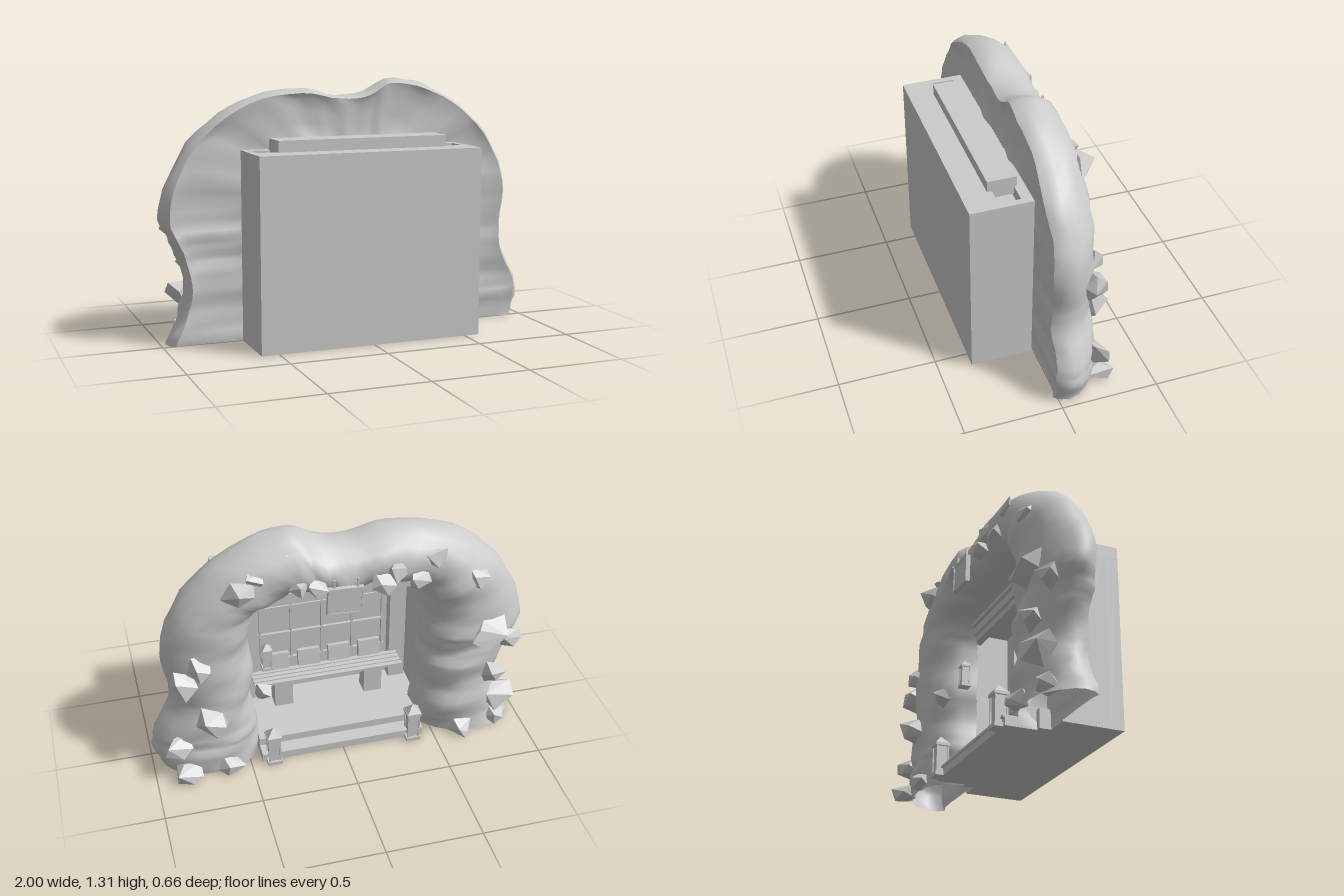
import * as THREE from 'three';
import { ConvexGeometry } from 'three/addons/geometries/ConvexGeometry.js';

const grey = new THREE.MeshStandardMaterial({ color: 0xcccccc, side: THREE.DoubleSide });
const flat = new THREE.MeshStandardMaterial({ color: 0xcccccc, flatShading: true });

let seed = 7;
const rand = () => (seed = (seed * 16807) % 2147483647) / 2147483647;

const curve = pts => new THREE.CatmullRomCurve3(pts.map(([x, y]) => new THREE.Vector3(x, y, 0)));

// Smooth sheet through rows of points
function sheet(name, rows) {
  const M = rows[0].length, idx = [];
  for (let i = 0; i < rows.length - 1; i++) for (let j = 0; j < M - 1; j++) {
    const p = i * M + j;
    idx.push(p, p + 1, p + M, p + 1, p + M + 1, p + M);
  }
  const g = new THREE.BufferGeometry();
  g.setAttribute('position', new THREE.Float32BufferAttribute(rows.flat(2), 3));
  g.setIndex(idx);
  g.computeVertexNormals();
  const m = new THREE.Mesh(g, grey);
  m.name = name;
  return m;
}

// Rock arch: a bulging shell between an inner and an outer outline, closed by a nearly flat face
function rockArch() {
  const outer = curve([[-.98, 0], [-.92, .13], [-.88, .28], [-.91, .42], [-.95, .52], [-1, .63], [-.95, .84],
    [-.8, 1.06], [-.56, 1.22], [-.28, 1.27], [-.06, 1.235], [.1, 1.25], [.23, 1.315], [.42, 1.28], [.65, 1.16],
    [.82, .97], [.91, .75], [.89, .52], [.9, .38], [.985, .22], [1, .13], [.96, 0]]);
  const inner = curve([[-.45, 0], [-.43, .13], [-.46, .28], [-.45, .42], [-.47, .52], [-.46, .63], [-.46, .78],
    [-.42, .9], [-.32, .96], [-.18, .98], [-.04, .95], [.06, .95], [.15, .98], [.26, .97], [.36, .94],
    [.43, .87], [.46, .75], [.45, .52], [.47, .38], [.44, .22], [.43, .13], [.45, 0]]);
  // [share of the way from inner to outer outline, z]
  const section = [[.92, .015], [.965, -.015], [.99, -.06], [.965, -.11], [.89, -.16], [.76, -.21], [.6, -.235],
    [.42, -.24], [.26, -.225], [.13, -.185], [.04, -.13], [0, -.07], [-.01, .015]];
  const face = [[.92, .015], [.8, .006], [.6, .002], [.4, .002], [.2, .002], [-.01, .015]];
  const N = 84, shell = [], front = [];
  for (let i = 0; i <= N; i++) {
    const a = inner.getPoint(i / N), b = outer.getPoint(i / N);
    const point = (k, z) => [a.x + (b.x - a.x) * k, i % N ? Math.max(0, a.y + (b.y - a.y) * k) : 0, z];
    const edge = .006 * Math.sin(i * .9) + .006 * (rand() - .5);
    shell.push(section.map(([w, z], j) => {
      const lump = Math.sin(i * .85 + j * .9) + .7 * Math.sin(i * 1.75 - j * .6) + 1.4 * (rand() - .5);
      const inside = Math.sin(Math.PI * j / (section.length - 1));
      return point(w + lump * (.004 + .011 * inside), z + edge + lump * .007 * inside);
    }));
    const last = shell[i].length - 1;
    front.push(face.map(([w, z], j) => {
      if (j === 0) return shell[i][0];
      if (j === face.length - 1) return shell[i][last];
      return point(w, z + .006 * Math.sin(i * .8 + j * .3) + .004 * Math.sin(i * 1.9) - .004);
    }).reverse());
  }
  const g = new THREE.Group();
  g.name = 'rockArch';
  g.add(sheet('archShell', shell), sheet('archFace', front));
  return g;
}

// Angular stone from the hull of a few scattered points
function stone(x, y, z, r) {
  const pts = [];
  for (let i = 0; i < 9; i++) {
    const h = 1 - 2 * (i + .5) / 9, t = i * 2.4 + rand(), q = Math.sqrt(1 - h * h), s = r * (.75 + .6 * rand());
    pts.push(new THREE.Vector3(q * Math.cos(t) * s * 1.15, Math.max(h * s, .004 - y), q * Math.sin(t) * s));
  }
  const m = new THREE.Mesh(new ConvexGeometry(pts), flat);
  m.position.set(x, y, z);
  m.name = 'stone';
  return m;
}

export function createModel() {
  const model = new THREE.Group();
  const group = name => { const g = new THREE.Group(); g.name = name; model.add(g); return g; };
  // Box given by its limits on each axis
  const box = (parent, name, x0, x1, y0, y1, z0, z1) => {
    const m = new THREE.Mesh(new THREE.BoxGeometry(x1 - x0, y1 - y0, z1 - z0), flat);
    m.position.set((x0 + x1) / 2, (y0 + y1) / 2, (z0 + z1) / 2);
    m.name = name;
    parent.add(m);
    return m;
  };

  model.add(rockArch());

  // Stones on the arch
  const stones = group('stones');
  [[.52, 1.08, -.23, .065], [.44, 1.14, -.2, .05], [.82, .6, -.21, .075], [.73, .68, -.23, .065],
    [.7, .36, -.25, .075], [.82, .03, -.24, .08], [.87, .2, -.22, .065], [.42, .46, -.2, .05],
    [.62, .04, -.24, .06], [-.77, .65, -.24, .085], [-.85, .22, -.24, .075], [-.64, .03, -.25, .06],
    [-.9, .56, -.2, .065], [-.8, .38, -.25, .06], [-.18, 1.04, -.24, .055], [-.28, 1.1, -.22, .06],
    [-.37, 1.03, -.24, .055], [-.46, 1.13, -.21, .055], [-.68, .98, -.21, .06], [.14, 1.07, -.24, .045],
    [.23, 1.08, -.23, .045], [-.85, .05, -.2, .06], [.24, 1.22, -.17, .05]].forEach(s => stones.add(stone(...s)));

  // Room: walls, floor and ceiling, open towards the arch
  const room = group('room');
  box(room, 'frontWall', -.59, .58, 0, .91, .26, .33);
  for (const s of [-1, 1]) {
    const x = s < 0 ? [-.59, -.47] : [.47, .58];
    box(room, 'sideWall', ...x, 0, .91, .01, .26);
    box(room, 'pilaster', s * .415 - .045, s * .415 + .045, .1, .9, .2, .26);
  }
  box(room, 'floor', -.47, .47, 0, .1, -.05, .26);
  box(room, 'ceiling', -.47, .47, .89, .91, .01, .26);

  // Roof plate with a long slot, and the raised cover above it
  const plate = new THREE.Shape([[-.59, .01], [.58, .01], [.58, .33], [-.59, .33]].map(p => new THREE.Vector2(...p)));
  plate.holes.push(new THREE.Path([[-.555, .065], [-.555, .175], [.545, .175], [.545, .065]].map(p => new THREE.Vector2(...p))));
  const roof = new THREE.Mesh(new THREE.ExtrudeGeometry(plate, { depth: .06, bevelEnabled: false }), flat);
  roof.rotation.x = Math.PI / 2;
  roof.position.y = .97;
  roof.name = 'roofPlate';
  room.add(roof);
  box(room, 'roofCover', -.455, .445, .93, 1.028, .05, .2);

  // Header mouldings over the opening
  [[.83, .86, .0], [.86, .9, -.02], [.9, .92, -.04]].forEach(([a, b, z]) => box(room, 'header', -.47, .47, a, b, z, .04));

  // Panelled wall with glazing bars and hanging panels
  const wall = group('panelledWall');
  for (let i = 0; i < 5; i++) box(wall, 'uprightBar', -.345 + i * .17, -.335 + i * .17, .3, .82, .245, .262);
  for (const y of [.3, .47, .64, .81]) box(wall, 'crossBar', -.35, .35, y, y + .01, .245, .262);
  for (let i = 0; i < 4; i++) {
    const x = -.255 + i * .17;
    box(wall, 'hangingPanel', x - .05, x + .05, .74, .83, .21, .225);
    box(wall, 'backCushion', x - .06, x + .06, .27, .37, .2, .225).rotation.x = .12;
  }

  // Slatted bench
  const bench = group('bench');
  for (let i = 0; i < 4; i++) box(bench, 'slat', -.41, .41, .26, .275, .08 + i * .033, .106 + i * .033);
  for (const s of [-1, 1]) box(bench, 'benchLeg', s * .25 - .05, s * .25 + .05, .1, .26, .1, .19);

  // Steps up to the room
  const steps = group('steps');
  box(steps, 'lowerStep', -.44, .44, 0, .04, -.21, -.05);
  box(steps, 'lowerNosing', -.44, .44, .04, .052, -.22, -.13);
  box(steps, 'upperStep', -.44, .44, .04, .09, -.14, -.05);
  box(steps, 'upperNosing', -.44, .44, .09, .102, -.15, -.04);

  // Lamp with foot, glass body, corner bars and pointed cap
  const lamp = (name, x, y, z, k) => {
    const g = group(name), w = .036 * k;
    box(g, 'foot', -w, w, 0, .02 * k, -w, w);
    box(g, 'body', -w * .7, w * .7, .02 * k, .15 * k, -w * .7, w * .7);
    for (const a of [-1, 1]) for (const b of [-1, 1])
      box(g, 'cornerBar', a * w * .75 - .004, a * w * .75 + .004, .02 * k, .15 * k, b * w * .75 - .004, b * w * .75 + .004);
    box(g, 'rim', -w, w, .15 * k, .165 * k, -w, w);
    const cap = new THREE.Mesh(new THREE.ConeGeometry(w * 1.35, .04 * k, 4), flat);
    cap.rotation.y = Math.PI / 4;
    cap.position.y = .185 * k;
    cap.name = 'cap';
    g.add(cap);
    g.position.set(x, y, z);
  };
  for (const s of [-1, 1]) lamp('postLamp', s * .38, 0, -.215, 1.08);
  lamp('wallLantern', .375, .52, -.09, .75);

  // Blank framed sign hung from the arch
  const sign = group('sign');
  box(sign, 'board', -.085, .085, -.07, .07, -.008, .008);
  for (const s of [-1, 1]) {
    box(sign, 'frameSide', s * .085 - .005, s * .085 + .005, -.075, .075, -.012, .012);
    box(sign, 'frameRail', -.085, .085, s * .07 - .005, s * .07 + .005, -.012, .012);
    box(sign, 'hanger', s * .06 - .005, s * .06 + .005, .07, .12, -.004, .006);
  }
  sign.position.set(.01, .99, -.262);
  sign.rotation.z = .05;

  return model;
}
